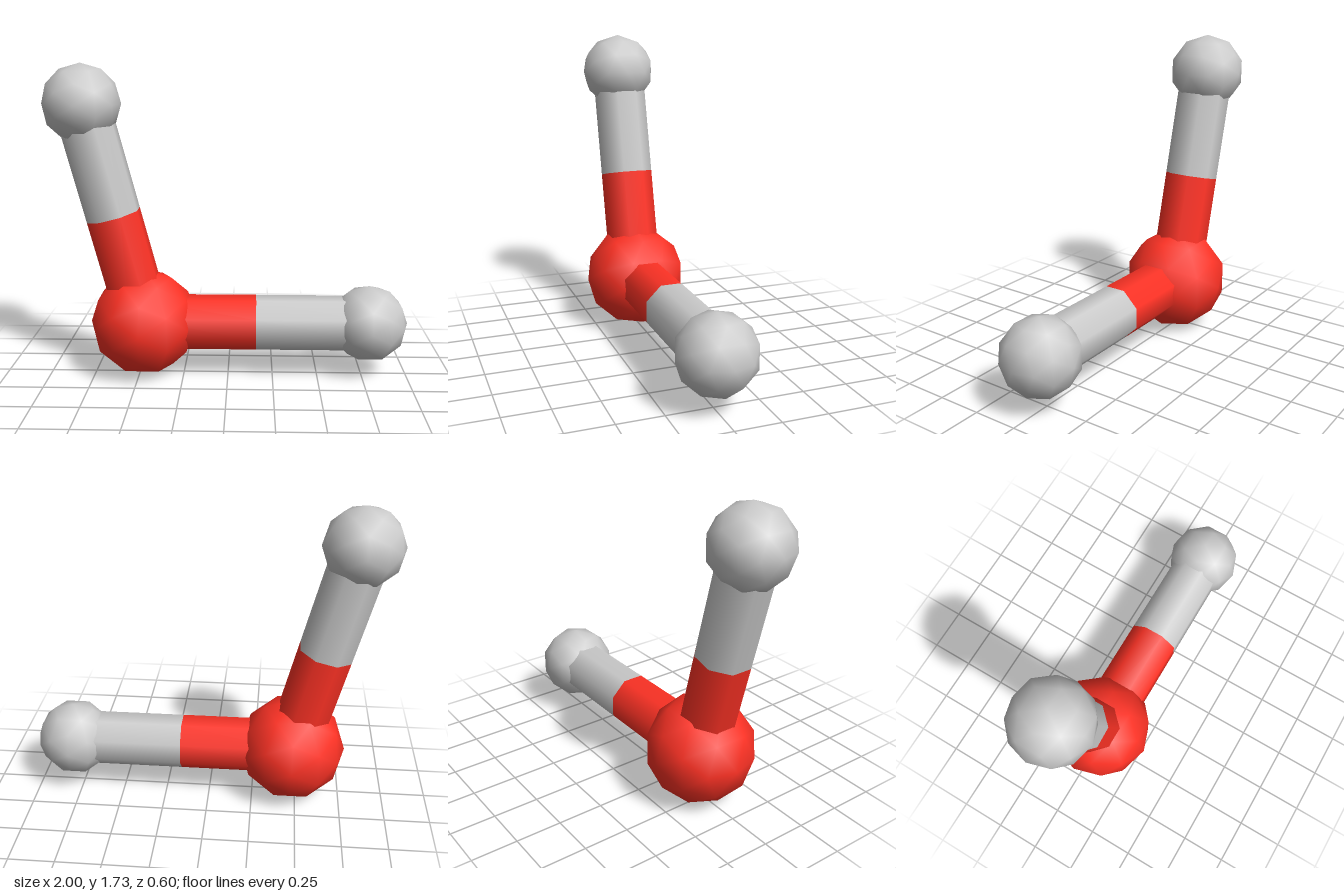
import * as THREE from 'three';

const BOND_LENGTH = 1.256;
const BOND_RADIUS = 0.153;
const BALL_RADIUS = 0.298;
const END_RADIUS = 0.215;

export function createModel() {
  const model = new THREE.Group();
  model.name = 'ballAndStickMolecule';
  const red = new THREE.MeshStandardMaterial({ color: 0xff3225 });
  const grey = new THREE.MeshStandardMaterial({ color: 0xcccccc });

  const add = (parent, name, geometry, material, y = 0) => {
    const mesh = new THREE.Mesh(geometry, material);
    mesh.name = name;
    mesh.position.y = y;
    parent.add(mesh);
    return mesh;
  };
  const ball = (radius) => new THREE.IcosahedronGeometry(radius, 1);

  // Central atom
  const centre = new THREE.Vector3(-0.471, BALL_RADIUS, 0);
  add(model, 'centralAtom', ball(BALL_RADIUS), red).position.copy(centre);

  // Eight-sided half stick, smooth-shaded, with a flat side facing forward
  const half = BOND_LENGTH / 2;
  const stick = new THREE.CylinderGeometry(BOND_RADIUS, BOND_RADIUS, half, 8, 1, false, Math.PI / 8);

  // Two bonds, each turned about z from the vertical, with an outer atom at the end
  const bonds = [['upper', THREE.MathUtils.degToRad(14.48)], ['side', -Math.PI / 2]];
  for (const [name, angle] of bonds) {
    const bond = new THREE.Group();
    bond.name = name + 'Bond';
    bond.position.copy(centre);
    bond.rotation.z = angle;
    add(bond, name + 'InnerStick', stick, red, half * 0.5);
    add(bond, name + 'OuterStick', stick, grey, half * 1.5);
    model.add(bond);

    // Outer atoms keep the same upright orientation as the central one
    const direction = new THREE.Vector3(-Math.sin(angle), Math.cos(angle), 0);
    add(model, name + 'OuterAtom', ball(END_RADIUS), grey)
      .position.copy(centre).addScaledVector(direction, BOND_LENGTH);
  }
  return model;
}
